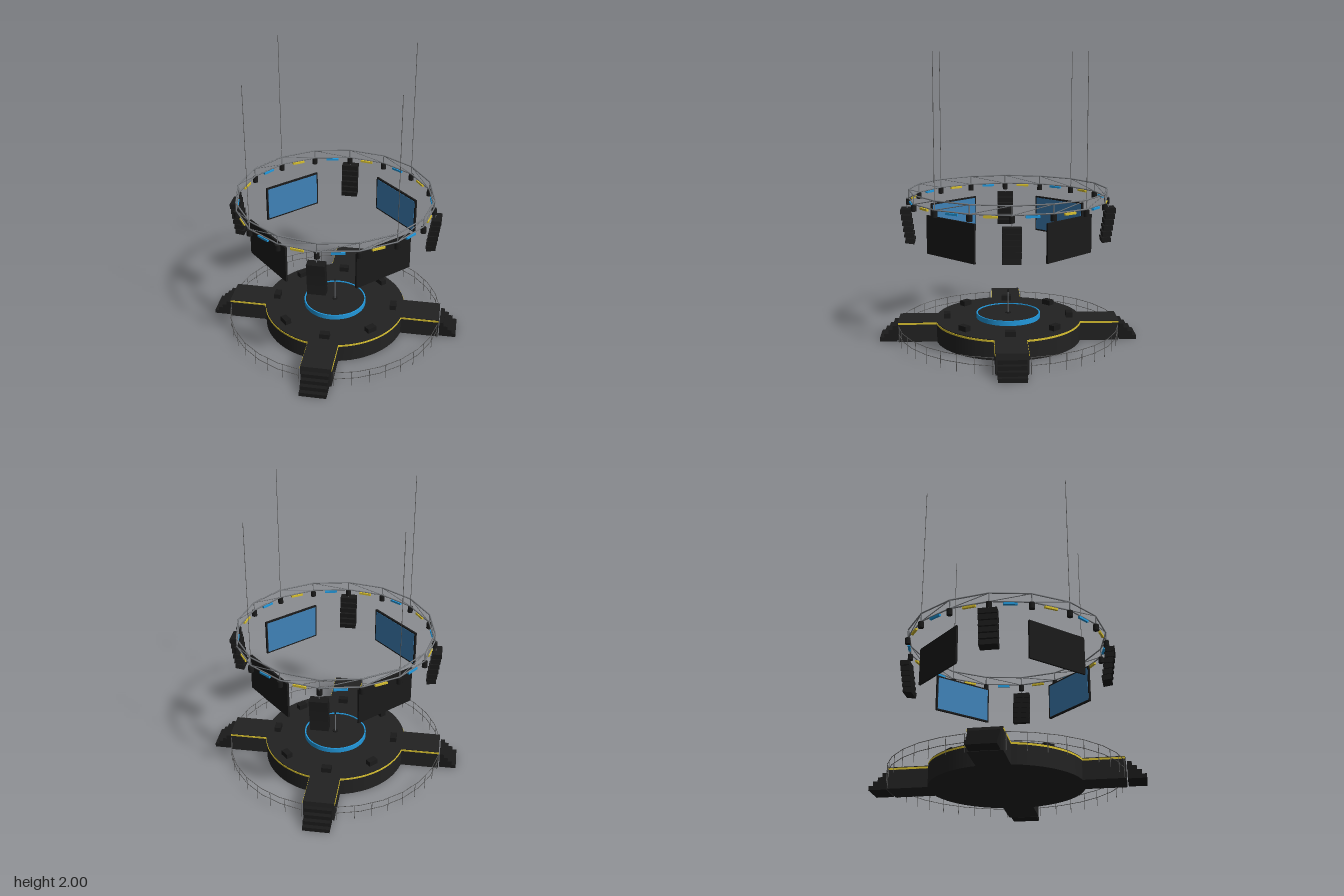
import * as THREE from 'three';

const mat = (name, color) => {
  const m = new THREE.MeshStandardMaterial({ color });
  m.name = name;
  return m;
};

export function createModel() {
  const M = {
    deck: mat('stage black', 0x222222),
    gear: mat('equipment black', 0x1a1a1a),
    metal: mat('truss grey', 0x777a7e),
    rail: mat('rail grey', 0x5c5c5c),
    blue: mat('light blue', 0x2299dd),
    yellow: mat('light yellow', 0xd8c030),
    screen: mat('screen blue', 0x3f82b8),
  };
  const root = new THREE.Group();
  root.name = 'roundStage';

  const add = (parent, name, geo, material, x = 0, y = 0, z = 0) => {
    const m = new THREE.Mesh(geo, material);
    m.name = name;
    m.position.set(x, y, z);
    parent.add(m);
    return m;
  };
  const box = (w, h, d) => new THREE.BoxGeometry(w, h, d);
  const cyl = (r, h, n = 8) => new THREE.CylinderGeometry(r, r, h, n);
  const polar = (a, r, y) => new THREE.Vector3(Math.sin(a) * r, y, Math.cos(a) * r);
  // group turned about y so that its local +z points outward at angle a
  const spoke = (name, a) => {
    const g = new THREE.Group();
    g.name = name;
    g.rotation.y = a;
    root.add(g);
    return g;
  };
  // round bar between two points
  const bar = (name, p, q, r, material) => {
    const d = q.clone().sub(p);
    const m = add(root, name, cyl(r, d.length(), 6), material);
    m.position.copy(p).lerp(q, 0.5);
    m.quaternion.setFromUnitVectors(new THREE.Vector3(0, 1, 0), d.normalize());
  };
  const rad = THREE.MathUtils.degToRad;
  const quarter = Math.PI / 2;
  const deckY = 0.143;

  // Main stage and raised centre with a glowing rim
  add(root, 'stage', cyl(0.51, deckY, 64), M.deck, 0, deckY / 2);
  add(root, 'centrePlatform', cyl(0.217, 0.03, 64), M.deck, 0, deckY + 0.015);
  const rim = [[0.216, 0.145], [0.225, 0.145], [0.225, 0.179], [0.216, 0.179], [0.216, 0.145]];
  for (let i = 0; i < 4; i++) {
    const edge = [rim[i], rim[i + 1]].map(p => new THREE.Vector2(...p));
    add(root, 'centreRim', new THREE.LatheGeometry(edge, 64), M.blue);
  }

  // Microphone stand
  add(root, 'microphoneBase', cyl(0.02, 0.006, 16), M.gear, 0, 0.176);
  add(root, 'microphoneStand', cyl(0.004, 0.16), M.metal, 0, 0.255);
  add(root, 'microphone', cyl(0.005, 0.02), M.gear, 0, 0.333);

  // Floor monitors
  for (let i = 0; i < 8; i++) {
    add(spoke('floorMonitor', i * Math.PI / 4), 'monitorBox', box(0.07, 0.036, 0.046), M.gear, 0, deckY + 0.018, 0.431);
  }

  for (let k = 0; k < 4; k++) {
    const a = k * quarter;

    // Runway, edge strips and stairs on each diagonal
    const way = spoke('runway', a + quarter / 2);
    add(way, 'runwayDeck', box(0.212, deckY, 0.37), M.deck, 0, deckY / 2, 0.585);
    for (const s of [-1, 1]) {
      add(way, 'runwayStrip', box(0.004, 0.013, 0.27), M.yellow, s * 0.107, 0.131, 0.635);
    }
    for (let i = 0; i < 4; i++) {
      const h = 0.112 - i * 0.028;
      add(way, 'step', box(0.185, h, 0.03), M.gear, 0, h / 2, 0.793 + i * 0.03);
    }

    // Curved stage edge strip
    const strip = new THREE.CylinderGeometry(0.513, 0.513, 0.013, 24, 1, true, a - rad(33), rad(66));
    add(root, 'stageStrip', strip, M.yellow, 0, 0.131);
    const lip = new THREE.RingGeometry(0.509, 0.513, 24, 1, -quarter + a - rad(33), rad(66));
    lip.rotateX(-Math.PI / 2);
    add(root, 'stageStripTop', lip, M.yellow, 0, 0.1375);

    // Safety railing between the runways
    const span = rad(36.5);
    for (const y of [0.06, 0.112]) {
      for (let i = 0; i < 6; i++) {
        const t = j => a - span + j * span / 3;
        bar('railing', polar(t(i), 0.773, y), polar(t(i + 1), 0.773, y), 0.0022, M.rail);
      }
    }
    for (let i = -4; i <= 4; i++) {
      bar('railPost', polar(a + rad(9 * i), 0.771, 0), polar(a + rad(9 * i), 0.771, 0.112), 0.002, M.rail);
    }

    // Hanging screen facing inward
    const sc = spoke('hangingScreen', a);
    add(sc, 'screenFrame', box(0.45, 0.262, 0.014), M.gear, 0, 0.79, 0.55);
    add(sc, 'screenFace', box(0.428, 0.24, 0.003), M.screen, 0, 0.79, 0.5425);

    // Hanging speaker column leaning toward the stage
    const sp = spoke('speakerColumn', a + quarter / 2);
    for (let i = 0; i < 6; i++) {
      const b = add(sp, 'speakerBox', box(0.12, 0.036, 0.065), M.gear, 0, 0.912 - i * 0.041, 0.71 - i * 0.006);
      b.rotation.x = -0.03 * i;
    }
    add(sp, 'speakerHanger', cyl(0.003, 0.08), M.metal, 0, 0.965, 0.7);

    // Suspension cable
    bar('cable', polar(a, 0.687, 1.06), polar(a, 0.687, 2), 0.002, M.rail);
  }

  // Lighting truss of sixteen bays with lamps and light bars
  const bays = 16, R = 0.687, low = 1.0, high = 1.06, stepA = Math.PI * 2 / bays;
  for (let i = 0; i < bays; i++) {
    const a = i * stepA, b = a + stepA;
    bar('lowerChord', polar(a, R, low), polar(b, R, low), 0.005, M.metal);
    bar('upperChord', polar(a, R, high), polar(b, R, high), 0.005, M.metal);
    bar('trussPost', polar(a, R, low), polar(a, R, high), 0.004, M.metal);
    bar('trussBrace', polar(a, R, low), polar(b, R, high), 0.003, M.metal);

    const lamp = spoke('lamp', a);
    add(lamp, 'lampBody', cyl(0.019, 0.042, 12), M.gear, 0, 0.974, R);
    const light = spoke('lightBar', a + stepA / 2);
    add(light, 'lightBarBody', box(0.09, 0.014, 0.016), i % 2 ? M.yellow : M.blue, 0, 0.986, R * Math.cos(stepA / 2));
  }
  return root;
}
